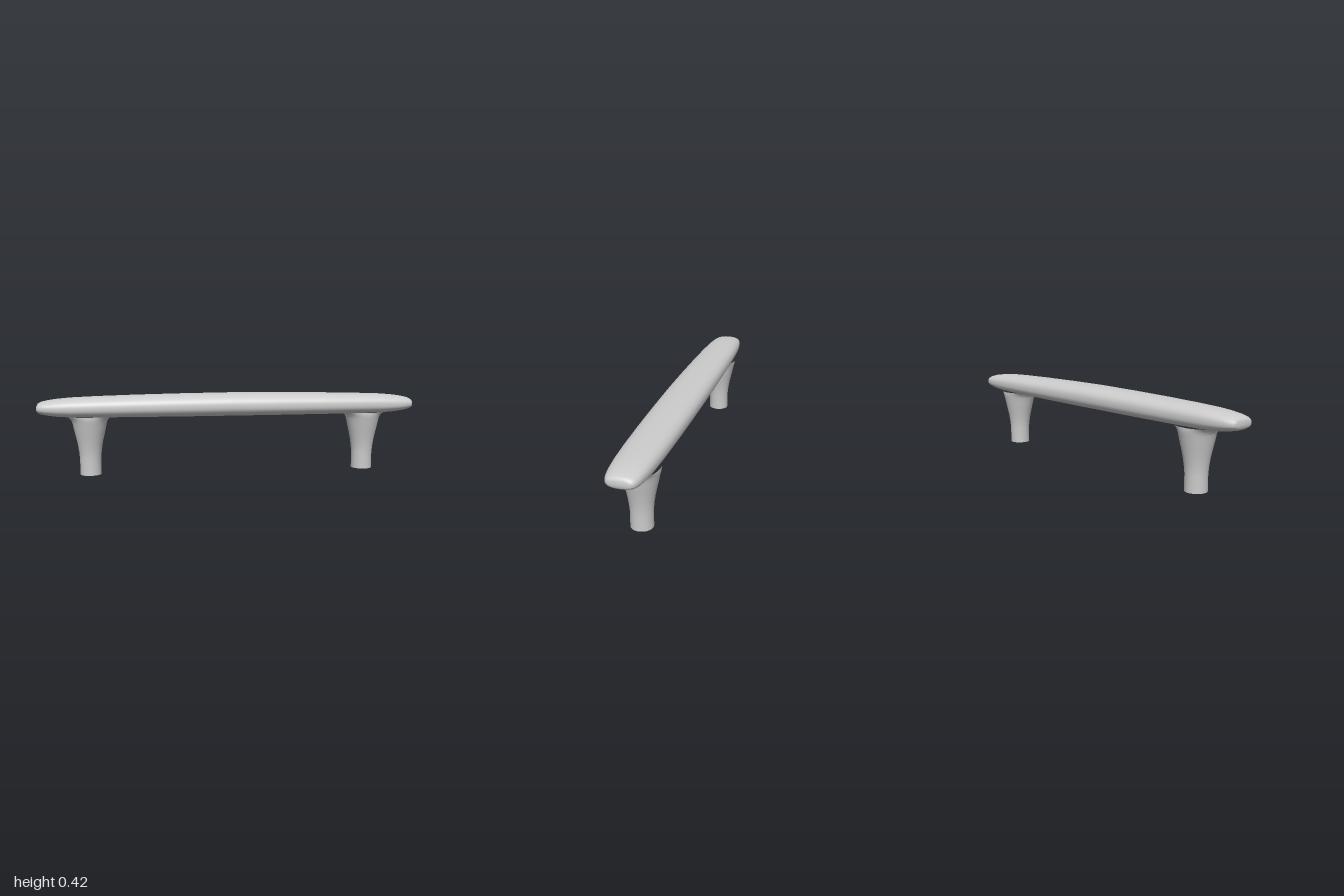
import * as THREE from 'three';
import { mergeVertices } from 'three/addons/utils/BufferGeometryUtils.js';

const material = new THREE.MeshStandardMaterial({ color: 0xcccccc });

// Half of the grip: [x, bottom y, top y, half width], from the middle to the tip
const stations = [
  [0, 0.3, 0.421, 0.108], [0.25, 0.3, 0.419, 0.107], [0.5, 0.301, 0.415, 0.104],
  [0.7, 0.302, 0.41, 0.099], [0.83, 0.304, 0.405, 0.093], [0.9, 0.309, 0.399, 0.087],
  [0.95, 0.316, 0.392, 0.08], [0.98, 0.323, 0.385, 0.071], [0.994, 0.33, 0.378, 0.061],
  [1, 0.338, 0.367, 0.046], [0.999, 0.35, 0.35, 0]
];

// Bulging bar with rounded-off oval sections, lofted along x
function gripGeometry() {
  const rows = [...stations.slice(1).reverse().map(([x, ...r]) => [-x, ...r]), ...stations];
  const n = 48, positions = [], index = [];
  const power = (v, e) => Math.sign(v) * Math.pow(Math.abs(v), e);
  rows.forEach(([x, bottom, top, w], i) => {
    const mid = bottom + (top - bottom) * 0.47;
    for (let j = 0; j < n; j++) {
      const a = (j / n) * Math.PI * 2, s = power(Math.sin(a), 0.82);
      positions.push(x, mid + s * (s > 0 ? top - mid : mid - bottom), w * power(Math.cos(a), 0.82));
      if (i < rows.length - 1) {
        const p = i * n + j, q = i * n + (j + 1) % n;
        index.push(p, p + n, q + n, p, q + n, q);
      }
    }
  });
  const g = new THREE.BufferGeometry();
  g.setAttribute('position', new THREE.Float32BufferAttribute(positions, 3));
  g.setIndex(index);
  const merged = mergeVertices(g);
  merged.computeVertexNormals();
  return merged;
}

// Turned surface; the flare under the grip spreads along x only
function turned(name, profile) {
  const g = new THREE.LatheGeometry(profile.map(([r, y]) => new THREE.Vector2(r, y)), 40);
  g.deleteAttribute('uv');
  g.deleteAttribute('normal');
  const p = g.attributes.position;
  for (let i = 0; i < p.count; i++) {
    const r = Math.hypot(p.getX(i), p.getZ(i));
    if (r > 0.093) p.setZ(i, p.getZ(i) * 0.093 / r);
  }
  const merged = mergeVertices(g);
  merged.computeVertexNormals();
  const mesh = new THREE.Mesh(merged, material);
  mesh.name = name;
  return mesh;
}

function post(name, x) {
  const group = new THREE.Group();
  group.name = name;
  group.add(
    turned('postStem', [[0.055, 0], [0.055, 0.085], [0.059, 0.125], [0.065, 0.165], [0.075, 0.21],
      [0.084, 0.25], [0.089, 0.275], [0.095, 0.29], [0.106, 0.301], [0.122, 0.31]]),
    turned('postFoot', [[0.022, 0], [0.055, 0]]),
    turned('screwHole', [[0, 0.15], [0.022, 0.15], [0.022, 0]])
  );
  group.position.x = x;
  return group;
}

export function createModel() {
  const model = new THREE.Group();
  model.name = 'pullHandle';
  const grip = new THREE.Mesh(gripGeometry(), material);
  grip.name = 'grip';
  model.add(grip, post('leftPost', 0.735), post('rightPost', -0.735));
  return model;
}
